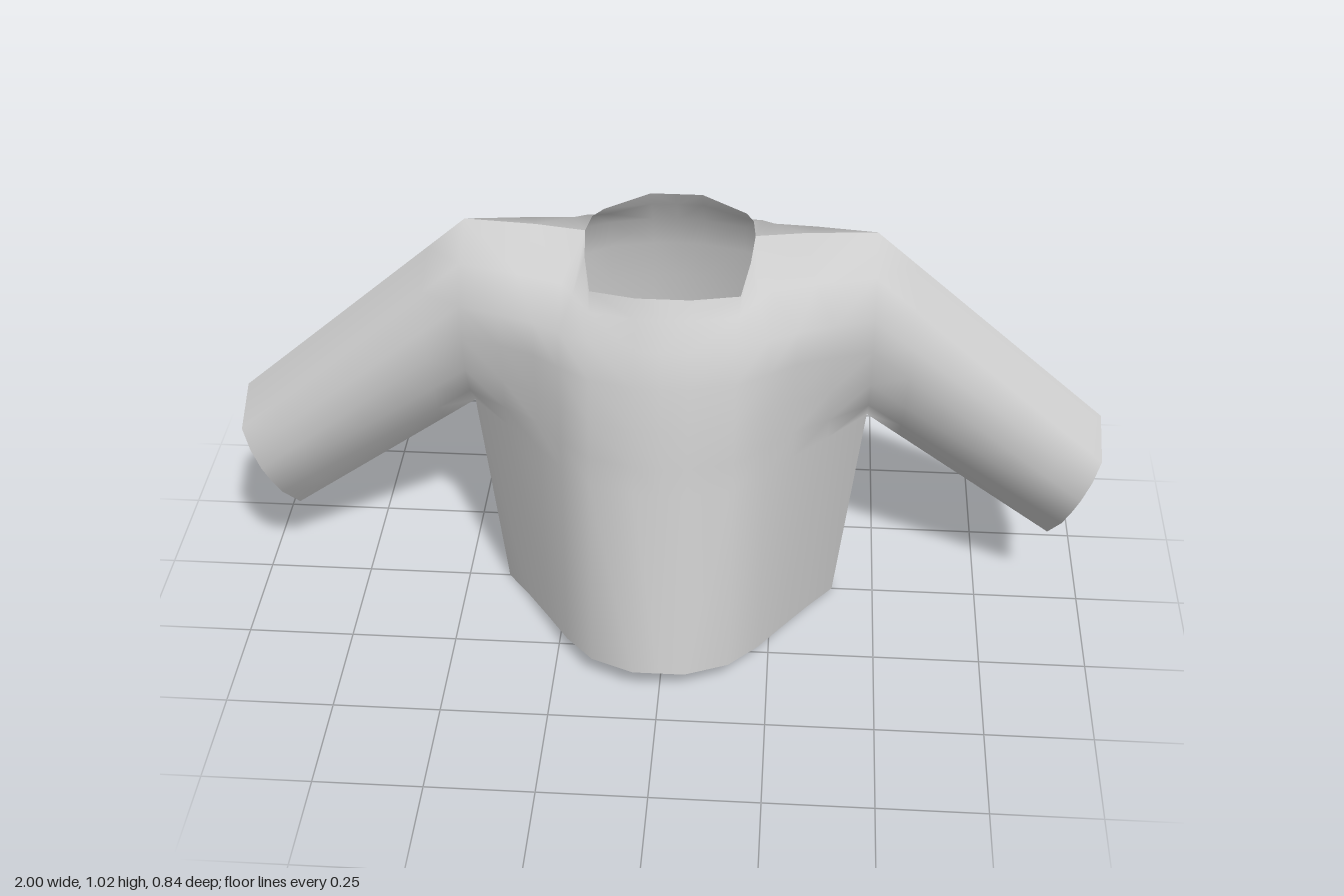
import * as THREE from 'three';
import { mergeVertices } from 'three/addons/utils/BufferGeometryUtils.js';

const { lerp } = THREE.MathUtils;

// Half torso: columns run from the centre to the side seam or armhole.
const columns = [0, .06, .16, .23, .29, .37, .46];

// A row across the body: its height at the centre and side, its half width and depths.
// Height follows depth, so the hem is a straight line when seen from the side.
function bodyRow(centreY, sideY, halfWidth, depths) {
  return columns.map((column, i) => [
    column - (.46 - halfWidth) * (i / 6) ** 4,
    lerp(sideY, centreY, depths[i] / depths[0]),
    depths[i],
  ]);
}

// Rows from the hem to the chest.
const body = [
  bodyRow(.07, 0, .40, [.42, .42, .37, .285, .195, .09, 0]),
  bodyRow(.53, .53, .46, [.35, .347, .317, .255, .185, .10, 0]),
  bodyRow(.60, .60, .46, [.343, .34, .312, .252, .187, .13, .065]),
  bodyRow(.69, .69, .46, [.33, .327, .302, .25, .19, .15, .115]),
  bodyRow(.79, .79, .46, [.313, .31, .285, .24, .195, .162, .135]),
  bodyRow(.87, .88, .46, [.29, .287, .26, .225, .192, .165, .138]),
];

// Neck opening, then the shoulder seam out to the sleeve.
const shoulder = [
  [0, .97, .23], [.06, .97, .23], [.165, .953, .18], [.183, .985, .09],
  [.19, 1, 0], [.30, 1.012, 0], [.46, 1.02, 0],
];

// The yoke curves over between the chest and the shoulder.
const yokeDepths = [.253, .251, .213, .175, .145, .125, .10];
const yoke = shoulder.map(([x, y], i) => {
  const chest = body[body.length - 1][i];
  return [lerp(chest[0], x, .6), lerp(chest[1], y, .6), yokeDepths[i]];
});
const torsoRows = [...body, yoke, shoulder];

// Half of the cuff opening, from underside to top.
const cuff = [
  [.91, .205, 0], [.93, .29, .075], [.945, .345, .105], [.96, .39, .12],
  [.982, .44, .115], [1, .49, .1], [1, .55, 0],
];

// The sleeve grows out of the outer column of the torso above the armpit.
const steps = 6;
const sleeveRows = torsoRows.slice(1).map((row, k) => {
  const arm = row[row.length - 1];
  return Array.from({ length: steps + 1 }, (_, i) =>
    arm.map((value, axis) => lerp(value, cuff[k][axis], i / steps)));
});

// Adds a grid of points as triangles, mirrored by the signs of side and face.
function addGrid(out, rows, side, face) {
  const put = (...pts) => {
    if (side * face < 0) pts.reverse();
    for (const p of pts) out.push(p[0] * side, p[1], p[2] * face);
  };
  for (let j = 0; j < rows.length - 1; j++) {
    for (let i = 0; i < rows[j].length - 1; i++) {
      const a = rows[j][i], b = rows[j][i + 1];
      const c = rows[j + 1][i + 1], d = rows[j + 1][i];
      put(a, b, c);
      put(a, c, d);
    }
  }
}

// One whole panel with both sleeves; smooth inside, creased at the seams.
function panel(face) {
  const pts = [];
  for (const side of [1, -1]) {
    addGrid(pts, torsoRows, side, face);
    addGrid(pts, sleeveRows, side, face);
  }
  let geo = new THREE.BufferGeometry();
  geo.setAttribute('position', new THREE.Float32BufferAttribute(pts, 3));
  geo = mergeVertices(geo, 1e-4);
  geo.computeVertexNormals();
  return geo;
}

export function createModel() {
  const group = new THREE.Group();
  group.name = 'sweater';
  const cloth = new THREE.MeshStandardMaterial({ color: 0xcccccc, side: THREE.DoubleSide });
  cloth.name = 'light grey cloth';
  for (const [name, face] of [['frontPanel', 1], ['backPanel', -1]]) {
    const mesh = new THREE.Mesh(panel(face), cloth);
    mesh.name = name;
    group.add(mesh);
  }
  return group;
}
